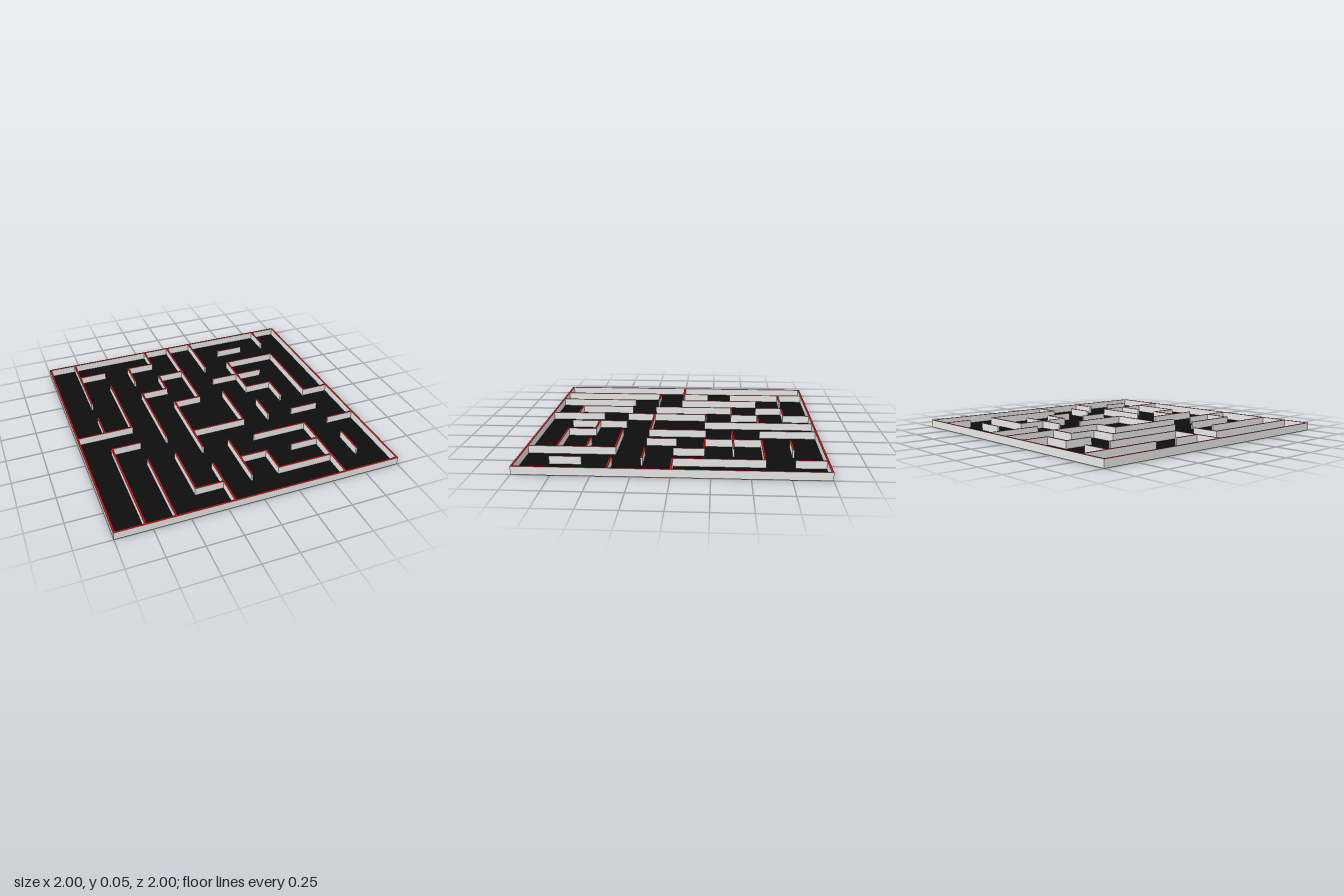
import * as THREE from 'three';

const CELLS = 10;
const THICK = 0.0132;                    // wall thickness
const PITCH = (2 - THICK) / CELLS;       // spacing of the wall lattice
const HEIGHT = 0.055;
const FLOOR = 0.001;                     // floor plate thickness

// Wall runs [start, end] in lattice units, keyed by lattice line
const ALONG_Z = {
  0: [[0, 10]],
  1: [[0, 3], [4, 5], [6, 10]],
  2: [[2, 5], [7, 10]],
  3: [[1, 2], [3, 6], [7, 9]],
  4: [[0, 1], [2, 3], [4, 7], [8, 10]],
  5: [[0, 4], [7, 9]],
  6: [[0, 2], [4, 6], [8, 9]],
  7: [[2, 4], [5, 6]],
  8: [[4, 5], [7, 10]],
  9: [[0, 1], [2, 5], [8, 9]],
  10: [[0, 10]],
};
const ALONG_X = {
  0: [[0, 10]],
  1: [[1, 2], [3, 4], [7, 8]],
  2: [[4, 5], [7, 9]],
  3: [[3, 4], [6, 8]],
  4: [[4, 5], [7, 8]],
  5: [[0, 2], [9, 10]],
  6: [[1, 2], [4, 6], [8, 9]],
  7: [[6, 8], [9, 10]],
  8: [[5, 6], [7, 8]],
  9: [[3, 4], [6, 8]],
  10: [[0, 10]],
};

function makeMaterial(name, color) {
  const m = new THREE.MeshStandardMaterial({ color });
  m.name = name;
  return m;
}

export function createModel() {
  const model = new THREE.Group();
  model.name = 'maze';
  const white = makeMaterial('wallWhite', 0xf2f2f2);
  const red = makeMaterial('wallTopRed', 0xd21212);
  const black = makeMaterial('floorBlack', 0x0e0e0e);

  // Floor plate
  const floor = new THREE.Mesh(new THREE.BoxGeometry(2, FLOOR, 2), black);
  floor.name = 'floor';
  floor.position.y = FLOOR / 2;
  model.add(floor);

  // White walls with a red top face
  const faces = [white, white, red, white, white, white];
  const at = (i) => (i - CELLS / 2) * PITCH;
  function addWalls(table, alongX) {
    for (const [line, runs] of Object.entries(table)) {
      for (const [a, b] of runs) {
        const length = (b - a) * PITCH + THICK;
        const h = HEIGHT - FLOOR;
        const geometry = alongX
          ? new THREE.BoxGeometry(length, h, THICK)
          : new THREE.BoxGeometry(THICK, h, length);
        const wall = new THREE.Mesh(geometry, faces);
        const outer = line === '0' || line === '10';
        wall.name = outer ? 'outerWall' : 'innerWall';
        const mid = at((a + b) / 2), across = at(Number(line));
        wall.position.set(alongX ? mid : across, FLOOR + h / 2, alongX ? across : mid);
        model.add(wall);
      }
    }
  }
  addWalls(ALONG_Z, false);
  addWalls(ALONG_X, true);
  return model;
}
